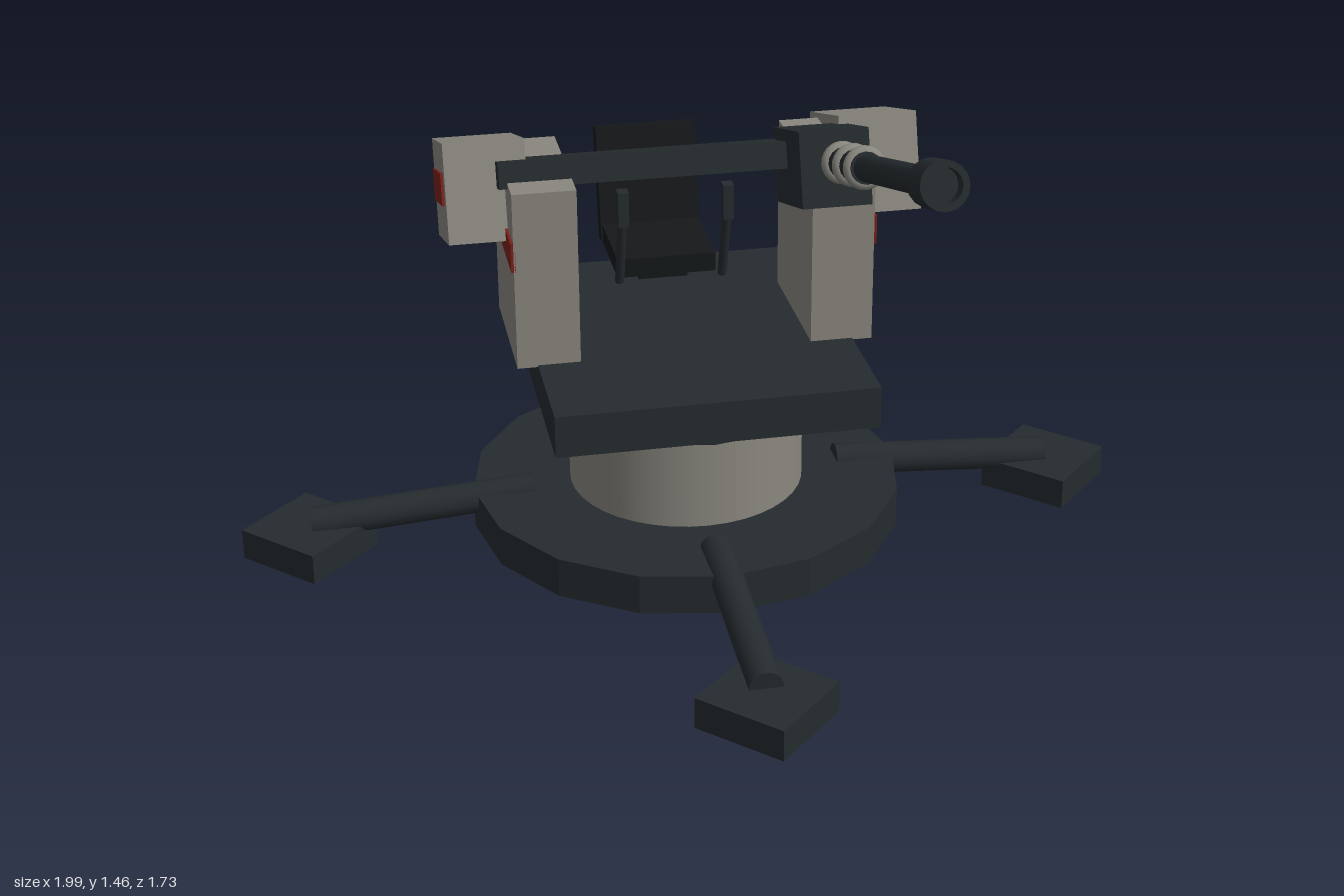
import * as THREE from 'three';

const paint = (color, flatShading = false) =>
  new THREE.MeshStandardMaterial({ color, flatShading, side: THREE.FrontSide });
const dark = paint(0x252b2e), darkFlat = paint(0x252b2e, true);
const grey = paint(0x8a877f), red = paint(0x7a201b), black = paint(0x15181a);
const PITCH = 0.305; // elevation shared by gun, crossbar and side pods

function add(parent, name, geometry, material, x = 0, y = 0, z = 0, rx = 0) {
  const mesh = new THREE.Mesh(geometry, material);
  mesh.name = name;
  mesh.position.set(x, y, z);
  mesh.rotation.x = rx;
  parent.add(mesh);
  return mesh;
}
const box = (w, h, d) => new THREE.BoxGeometry(w, h, d);
const disc = (r, h, n) => new THREE.CylinderGeometry(r, r, h, n);

// Cylinder running between two points
function rod(parent, name, a, b, r, material, sides = 16) {
  const from = new THREE.Vector3(...a), to = new THREE.Vector3(...b);
  const dir = to.clone().sub(from);
  const mesh = add(parent, name, disc(r, dir.length(), sides), material);
  mesh.position.copy(from).add(to).multiplyScalar(0.5);
  mesh.quaternion.setFromUnitVectors(new THREE.Vector3(0, 1, 0), dir.normalize());
  return mesh;
}

// Ground base: disc, drum, bearing ring and four outrigger legs with pads
function buildBase() {
  const base = new THREE.Group();
  base.name = 'base';
  add(base, 'baseDisc', disc(0.593, 0.11, 16), darkFlat, 0, 0.085, 0);
  add(base, 'drum', disc(0.323, 0.31, 40), grey, 0, 0.285, 0);
  add(base, 'bearingRing', disc(0.415, 0.05, 16), darkFlat, 0, 0.455, 0);
  for (const sx of [-1, 1]) for (const sz of [-1, 1]) {
    add(base, 'footPad', box(0.255, 0.085, 0.255), dark, sx * 0.74, 0.0425, sz * 0.738);
    rod(base, 'outriggerLeg', [sx * 0.3, 0.13, sz * 0.3], [sx * 0.735, 0.088, sz * 0.735], 0.044, dark);
  }
  return base;
}

// Gun: receiver, sleeve, cooling rings, barrel and hollow muzzle, along +z
function buildGun() {
  const gun = new THREE.Group();
  gun.name = 'gun';
  add(gun, 'receiver', box(0.185, 0.2, 0.3), dark);
  const barrel = new THREE.Group();
  barrel.name = 'barrelAssembly';
  barrel.position.set(0.012, 0.015, 0);
  gun.add(barrel);
  rod(barrel, 'barrel', [0, 0, 0.14], [0, 0, 1.06], 0.035, dark);
  rod(barrel, 'barrelSleeve', [0, 0, 0.14], [0, 0, 0.43], 0.041, dark);
  for (const z of [0.175, 0.29, 0.405])
    add(barrel, 'coolingRing', new THREE.TorusGeometry(0.038, 0.018, 10, 24), grey, 0, 0, z);
  const profile = [[0.034, 0], [0.052, 0], [0.052, 0], [0.058, 0.02], [0.058, 0.02], [0.058, 0.13],
    [0.058, 0.13], [0.042, 0.13], [0.042, 0.13], [0.042, 0.09], [0.042, 0.09], [0, 0.09]]
    .map(p => new THREE.Vector2(...p));
  add(barrel, 'muzzle', new THREE.LatheGeometry(profile, 16), dark, 0, 0, 0.985, Math.PI / 2);
  return gun;
}

// Operator seat with back rest, marker plate and two control levers
function buildSeat() {
  const seat = new THREE.Group();
  seat.name = 'seat';
  add(seat, 'seatPedestal', box(0.14, 0.05, 0.14), black, 0, 0.605, -0.4);
  add(seat, 'seatCushion', box(0.28, 0.055, 0.31), black, 0, 0.648, -0.425);
  add(seat, 'seatBack', box(0.29, 0.33, 0.05), black, 0, 0.785, -0.585, -0.22);
  add(seat, 'seatMarker', box(0.24, 0.1, 0.01), red, 0, 0.82, -0.638, -0.22);
  for (const s of [-1, 1]) {
    rod(seat, 'leverArm', [s * 0.145, 0.64, -0.205], [s * 0.145, 0.86, -0.135], 0.013, dark, 10);
    add(seat, 'leverGrip', box(0.03, 0.1, 0.036), dark, s * 0.145, 0.888, -0.13);
  }
  return seat;
}

// Rotating upper part, turned to the gun's heading
function buildTurret() {
  const turret = new THREE.Group();
  turret.name = 'turret';
  turret.rotation.y = Math.PI / 4;
  add(turret, 'platform', box(0.85, 0.115, 0.96), dark, 0, 0.5275, 0);
  for (const s of [-1, 1]) {
    add(turret, 'supportPost', box(0.168, 0.49, 0.405), grey, s * 0.395, 0.825, -0.032);
    add(turret, 'postStripe', box(0.012, 0.08, 0.405), red, s * 0.48, 0.895, -0.032);
    const pod = new THREE.Group();
    pod.name = 'sidePod';
    pod.position.set(s * 0.527, 0.98, -0.125);
    pod.rotation.x = -PITCH;
    add(pod, 'podBody', box(0.214, 0.264, 0.333), grey);
    add(pod, 'podPanel', box(0.012, 0.085, 0.245), red, s * 0.108, 0.01, 0);
    turret.add(pod);
  }
  add(turret, 'crossbar', box(0.82, 0.07, 0.19), dark, -0.09, 1.06, -0.01, -PITCH);
  const gun = buildGun();
  gun.position.set(0.353, 1.06, 0.097);
  gun.rotation.x = -PITCH;
  turret.add(gun, buildSeat());
  return turret;
}

export function createModel() {
  const model = new THREE.Group();
  model.name = 'mountedGun';
  const mount = new THREE.Group();
  mount.name = 'mount';
  mount.position.x = -0.132;
  mount.add(buildBase(), buildTurret());
  model.add(mount);
  return model;
}
